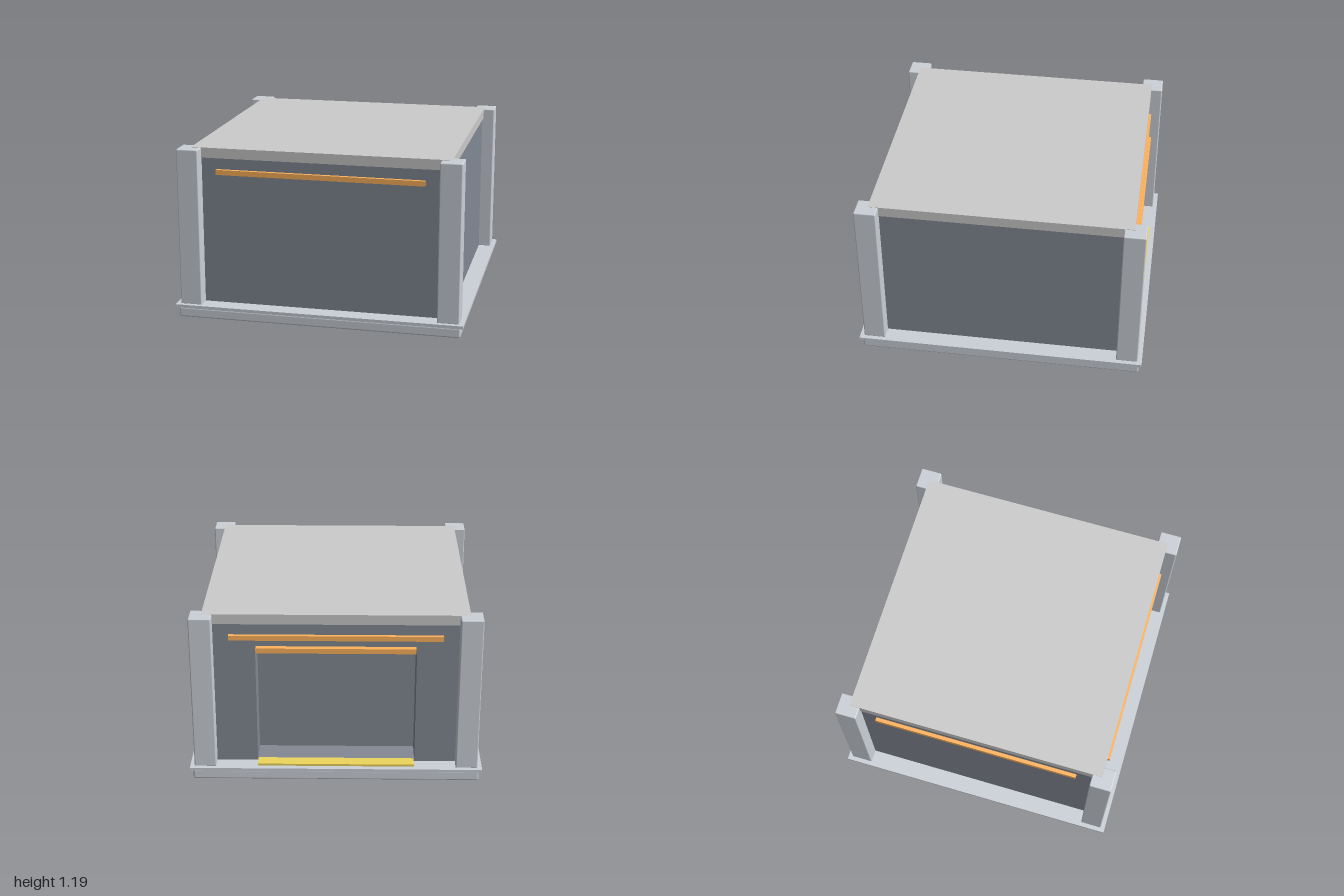
import * as THREE from 'three';
import { RoundedBoxGeometry } from 'three/addons/geometries/RoundedBoxGeometry.js';

export function createModel() {
  const model = new THREE.Group();
  const mat = (color) => new THREE.MeshStandardMaterial({ color });
  const stone = mat(0xccd1d8), wall = mat(0x838994), grey = mat(0xcccccc);
  const orange = mat(0xffb35c), yellow = mat(0xeed65c);

  const add = (name, geometry, material) => {
    const mesh = new THREE.Mesh(geometry, material);
    mesh.name = name;
    model.add(mesh);
    return mesh;
  };
  // Box given by its limits on each axis; a radius rounds its edges
  const block = (name, material, [x0, x1], [y0, y1], [z0, z1], radius = 0) => {
    const size = [x1 - x0, y1 - y0, z1 - z0];
    const geometry = radius
      ? new RoundedBoxGeometry(...size, 2, radius)
      : new THREE.BoxGeometry(...size);
    add(name, geometry, material).position.set((x0 + x1) / 2, (y0 + y1) / 2, (z0 + z1) / 2);
  };

  // Stepped base
  block('foundation', stone, [-0.98, 0.98], [0, 0.07], [-0.98, 0.98], 0.012);
  block('baseSlab', stone, [-1, 1], [0.073, 0.095], [-1, 1]);
  block('baseJoint', stone, [-0.96, 0.96], [0.065, 0.075], [-0.96, 0.96]);

  // Corner posts
  for (const sx of [-1, 1]) for (const sz of [-1, 1]) {
    const span = (s) => (s > 0 ? [0.82, 0.97] : [-0.97, -0.82]);
    block('cornerPost', stone, span(sx), [0.09, 1.19], span(sz), 0.008);
  }

  // Walls: solid core, plus a back wall with a recessed doorway
  const W = 0.88, top = 1.125, recess = -0.68, door = 0.54, doorTop = 0.93;
  block('walls', wall, [-W, W], [0.09, top], [recess, W]);

  const outline = new THREE.Shape();
  outline.moveTo(-W, 0.09).lineTo(-door, 0.09).lineTo(-door, doorTop).lineTo(door, doorTop);
  outline.lineTo(door, 0.09).lineTo(W, 0.09).lineTo(W, top).lineTo(-W, top);
  const backWall = new THREE.ExtrudeGeometry(outline, { depth: W + recess, bevelEnabled: false });
  add('backWall', backWall, wall).position.z = -W;
  block('doorwayFloor', wall, [-door, door], [0.09, 0.1], [-W, recess]);

  // Roof slab, level with the posts
  block('roof', grey, [-0.89, 0.89], [1.122, 1.192], [-0.89, 0.89]);

  // Light strips on the front, back and right-hand walls
  const long = [-0.715, 0.715], height = [1.01, 1.045];
  block('frontStrip', orange, long, height, [0.87, 0.905]);
  block('backStrip', orange, long, height, [-0.905, -0.87]);
  block('sideStrip', orange, [-0.905, -0.87], height, long);

  // Doorway lintel and sill
  block('doorLintel', orange, [-0.535, 0.535], [0.925, 0.96], [-0.92, -0.87]);
  block('doorSill', yellow, [-0.535, 0.535], [0.09, 0.11], [-0.96, -0.87]);

  return model;
}
